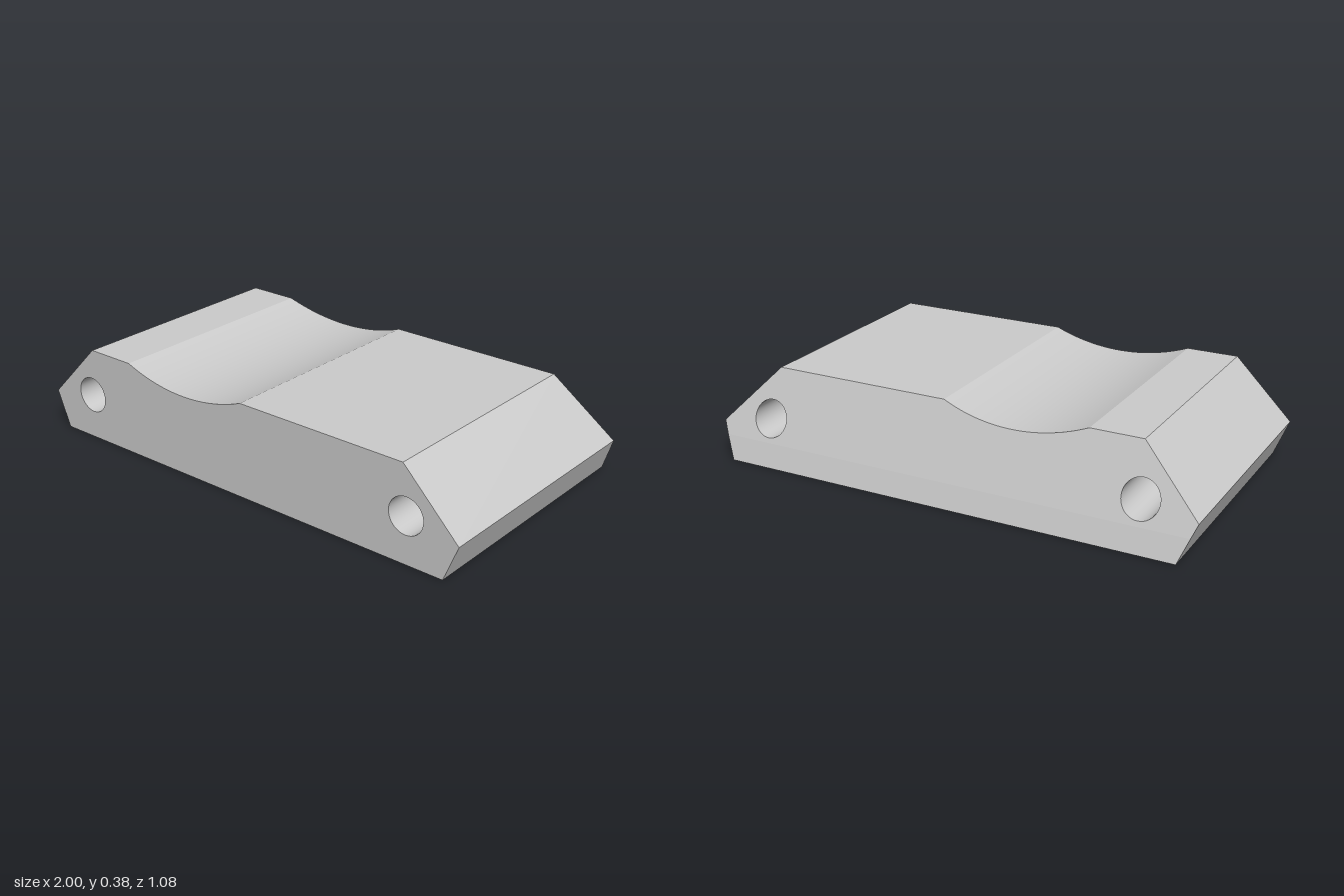
import * as THREE from 'three';
import { mergeGeometries, toCreasedNormals } from 'three/addons/utils/BufferGeometryUtils.js';

const FRONT = 0.538, BEND = 0.095, TOP = 0.385;
const V = (x, y) => new THREE.Vector2(x, y);

// Back face leans forward, with a slight bend near the bottom
const backZ = (y) => y < BEND
  ? THREE.MathUtils.mapLinear(y, 0, BEND, -0.538, -0.513)
  : THREE.MathUtils.mapLinear(y, BEND, TOP, -0.513, -0.42);

// Points on a circular arc
function arc(cx, cy, r, from, to, steps) {
  return Array.from({ length: steps + 1 }, (_, i) => {
    const a = from + (to - from) * i / steps;
    return V(cx + r * Math.cos(a), cy + r * Math.sin(a));
  });
}

// Side surface running from the front to the back along a closed loop
function wall(loop) {
  const pos = [];
  loop.forEach((a, i) => {
    const b = loop[(i + 1) % loop.length];
    const aF = [a.x, a.y, FRONT], aB = [a.x, a.y, backZ(a.y)];
    const bF = [b.x, b.y, FRONT], bB = [b.x, b.y, backZ(b.y)];
    pos.push(...aF, ...aB, ...bB, ...aF, ...bB, ...bF);
  });
  const g = new THREE.BufferGeometry();
  g.setAttribute('position', new THREE.Float32BufferAttribute(pos, 3));
  return toCreasedNormals(g, 0.3);
}

// End face of a loop, either flat at the front or following the back slope
function cap(loop, holes, isBack) {
  const shape = new THREE.Shape(loop);
  shape.holes = holes.map((h) => new THREE.Path(h));
  const g = new THREE.ShapeGeometry(shape);
  const p = g.attributes.position;
  for (let i = 0; i < p.count; i++) p.setZ(i, isBack ? backZ(p.getY(i)) : FRONT);
  if (isBack) g.index.array.reverse();
  const flat = g.toNonIndexed();
  flat.deleteAttribute('uv');
  flat.computeVertexNormals();
  return flat;
}

export function createModel() {
  const group = new THREE.Group();
  group.name = 'block';

  // Outline, counter-clockwise, split at the bend of the back face
  const bendX = 0.94 + 0.06 * BEND / 0.148;
  const base = [V(-0.94, 0), V(0.94, 0)];
  const half = 0.2925, sag = 0.057;
  const r = (half * half + sag * sag) / (2 * sag);
  const sweep = Math.asin(half / r);
  const dip = arc(-0.2625, TOP - sag + r, r, -Math.PI / 2 + sweep, -Math.PI / 2 - sweep, 24);
  dip[0].y = dip[dip.length - 1].y = TOP;
  const upper = [
    V(bendX, BEND), V(1, 0.148), V(0.765, TOP),
    ...dip,
    V(-0.765, TOP), V(-1, 0.148), V(-bendX, BEND),
  ];
  const lower = [...base, V(bendX, BEND), V(-bendX, BEND)];

  // Round through-holes, clockwise so their walls face inward
  const holes = [-1, 1].map((s) => arc(s * 0.782, 0.188, 0.073, Math.PI * 2, 0, 40).slice(0, -1));

  const geometry = mergeGeometries([
    wall([...base, ...upper]),
    ...holes.map(wall),
    ...[false, true].flatMap((back) => [cap(lower, [], back), cap(upper, holes, back)]),
  ]);
  const body = new THREE.Mesh(geometry, new THREE.MeshStandardMaterial({ color: 0xcccccc }));
  body.name = 'body';
  group.add(body);
  return group;
}
